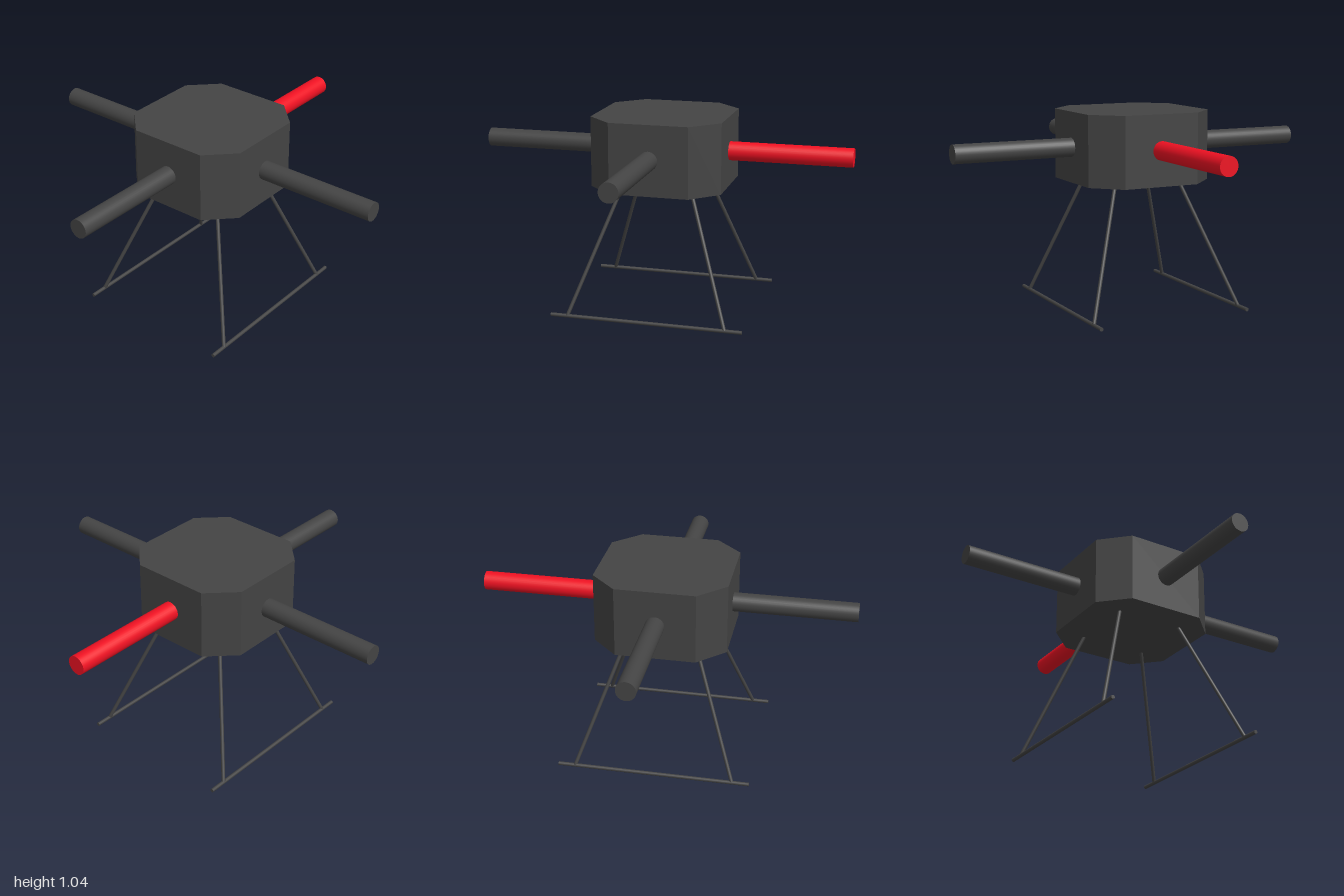
import * as THREE from 'three';

const dark = new THREE.MeshStandardMaterial({ color: 0x444444 });
const red = new THREE.MeshStandardMaterial({ color: 0xee1122 });

// Round rod between two points
function rod(name, from, to, radius, material, sides) {
  const a = new THREE.Vector3(...from);
  const b = new THREE.Vector3(...to);
  const dir = b.clone().sub(a);
  const mesh = new THREE.Mesh(new THREE.CylinderGeometry(radius, radius, dir.length(), sides), material);
  mesh.position.copy(a).add(b).multiplyScalar(0.5);
  mesh.quaternion.setFromUnitVectors(new THREE.Vector3(0, 1, 0), dir.normalize());
  mesh.name = name;
  return mesh;
}

export function createModel() {
  const model = new THREE.Group();
  model.name = 'drone';

  // Body: square block with chamfered vertical corners
  const h = 0.35, c = 0.21, bottom = 0.67, top = 1.044;
  const outline = new THREE.Shape(
    [[h, -c], [h, c], [c, h], [-c, h], [-h, c], [-h, -c], [-c, -h], [c, -h]]
      .map(([x, y]) => new THREE.Vector2(x, y)));
  const bodyGeometry = new THREE.ExtrudeGeometry(outline, { depth: top - bottom, bevelEnabled: false });
  bodyGeometry.rotateX(-Math.PI / 2);
  const body = new THREE.Mesh(bodyGeometry, dark);
  body.position.y = bottom;
  body.name = 'body';
  model.add(body);

  // Four arms, the left one red
  const armY = 0.857;
  const arms = [['leftArm', 1, 0], ['rightArm', -1, 0], ['frontArm', 0, 1], ['backArm', 0, -1]];
  for (const [name, x, z] of arms) {
    model.add(rod(name, [x * 0.34, armY, z * 0.34], [x, armY, z], 0.05, x > 0 ? red : dark, 32));
  }

  // Landing gear: two splayed legs on each skid
  for (const z of [1, -1]) {
    const side = z > 0 ? 'front' : 'back';
    for (const x of [1, -1]) {
      model.add(rod(side + (x > 0 ? 'Left' : 'Right') + 'Leg',
        [x * 0.184, 0.68, z * 0.184], [x * 0.424, 0.011, z * 0.424], 0.01, dark, 16));
    }
    model.add(rod(side + 'Skid', [-0.515, 0.01, z * 0.424], [0.515, 0.01, z * 0.424], 0.01, dark, 16));
  }

  return model;
}
